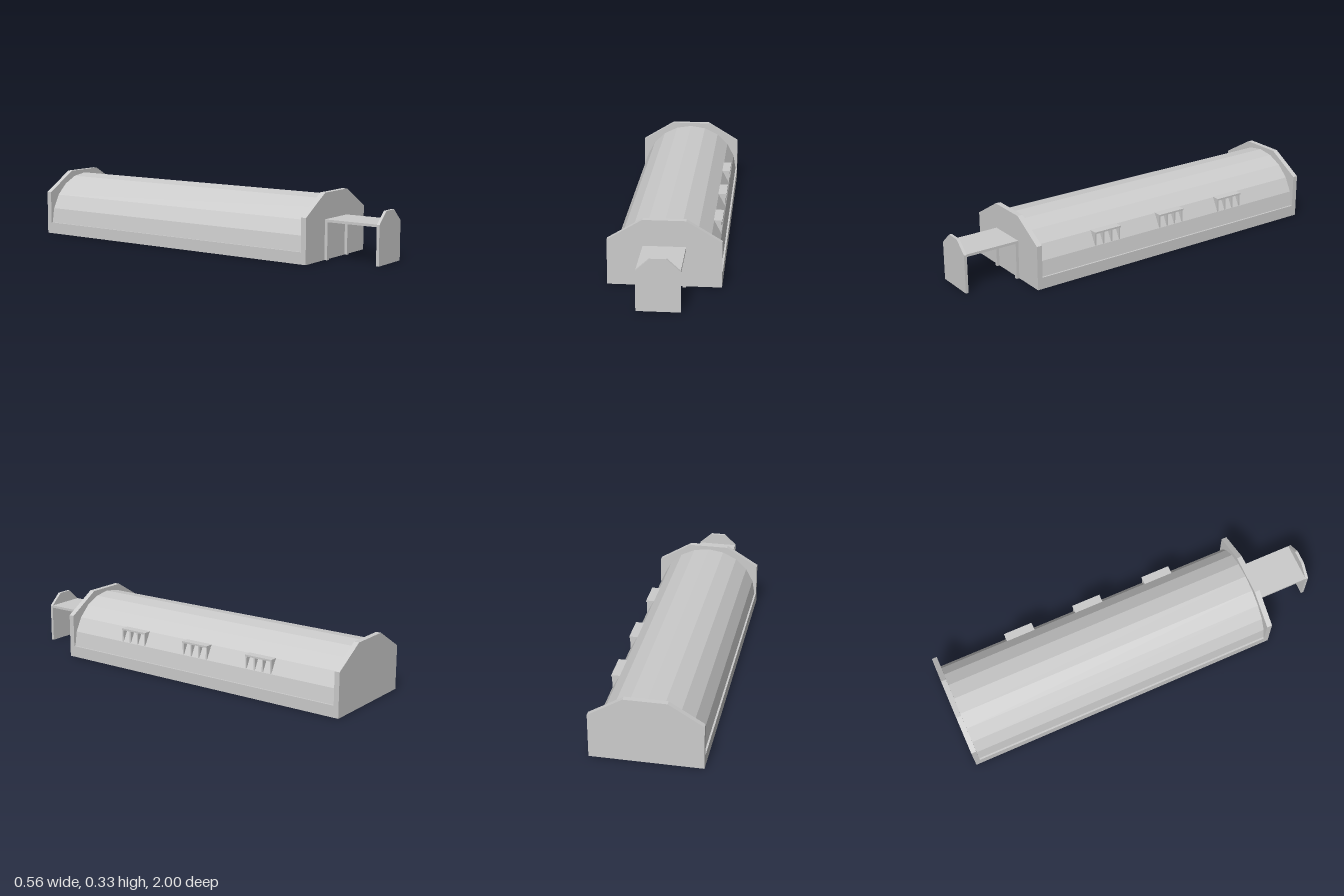
import * as THREE from 'three';

const material = new THREE.MeshStandardMaterial({ color: 0xcccccc, flatShading: true, side: THREE.DoubleSide });

export function createModel() {
  const model = new THREE.Group();
  model.name = 'vaultedHall';

  function add(name, geometry, parent = model) {
    const mesh = new THREE.Mesh(geometry, material);
    mesh.name = name;
    parent.add(mesh);
    return mesh;
  }

  // Box given by its extents on each axis
  function box(name, [x0, x1], [y0, y1], [z0, z1], parent) {
    const g = new THREE.BoxGeometry(x1 - x0, y1 - y0, z1 - z0);
    g.translate((x0 + x1) / 2, (y0 + y1) / 2, (z0 + z1) / 2);
    return add(name, g, parent);
  }

  // Outline in x and y, extruded from z0 to z1
  function slab(name, points, z0, z1, parent) {
    const shape = new THREE.Shape(points.map(([x, y]) => new THREE.Vector2(x, y)));
    const g = new THREE.ExtrudeGeometry(shape, { depth: z1 - z0, bevelEnabled: false });
    g.translate(0, 0, z0);
    return add(name, g, parent);
  }

  // Six-sided panel with clipped top corners
  const clipped = (w, shoulder, topW, top) =>
    [[-w, 0], [w, 0], [w, shoulder], [topW, top], [-topW, top], [-w, shoulder]];

  const front = 0.695, back = -0.998;
  const half = 0.277, baseTop = 0.06;

  // Low foundation walls around a slightly raised floor
  for (const s of [-1, 1]) {
    const xs = [s * half, s * (half - 0.014)].sort((a, b) => a - b);
    box('foundationWall', xs, [0, baseTop], [back + 0.002, front - 0.002]);
  }
  box('floor', [-half + 0.014, half - 0.014], [0.006, 0.05], [back + 0.01, front - 0.01]);

  // Faceted barrel roof
  const sides = 10;
  const arch = [];
  for (let i = 0; i <= sides; i++) {
    const a = (i / sides) * Math.PI;
    arch.push([0.268 * Math.cos(a), baseTop - 0.002 + 0.257 * Math.sin(a)]);
  }
  slab('barrelRoof', arch, back + 0.01, front - 0.01);

  // End walls rising above the roof
  const gable = clipped(half, 0.229, 0.105, 0.333);
  slab('frontGable', gable, front - 0.028, front);
  slab('backGable', gable, back, back + 0.027);

  // Porch: free-standing screen, flat canopy and rear posts
  const porch = new THREE.Group();
  porch.name = 'porch';
  model.add(porch);
  slab('porchScreen', clipped(0.105, 0.2, 0.038, 0.261), 0.983, 0.998, porch);
  box('porchCanopy', [-0.104, 0.104], [0.189, 0.202], [front, 0.984], porch);
  for (const s of [-1, 1]) {
    box('porchPost', [s * 0.096 - 0.008, s * 0.096 + 0.008], [0, 0.19], [front, front + 0.015], porch);
  }

  // Three dormer windows along the +x slope
  const fin = [[0.21, 0.205], [0.245, 0.136], [0.254, 0.136], [0.254, 0.205]];
  for (const z of [0.264, -0.137, -0.526]) {
    const dormer = new THREE.Group();
    dormer.name = 'dormerWindow';
    dormer.position.z = z;
    model.add(dormer);
    box('dormerRoof', [0.206, 0.258], [0.202, 0.211], [-0.078, 0.078], dormer);
    for (let i = 0; i < 4; i++) {
      const c = -0.073 + i * 0.0487;
      slab('dormerFin', fin, c - 0.004, c + 0.004, dormer);
    }
  }

  // The whole building stands slightly turned
  model.rotation.y = 0.0063;
  const root = new THREE.Group();
  root.name = 'building';
  root.add(model);
  return root;
}
